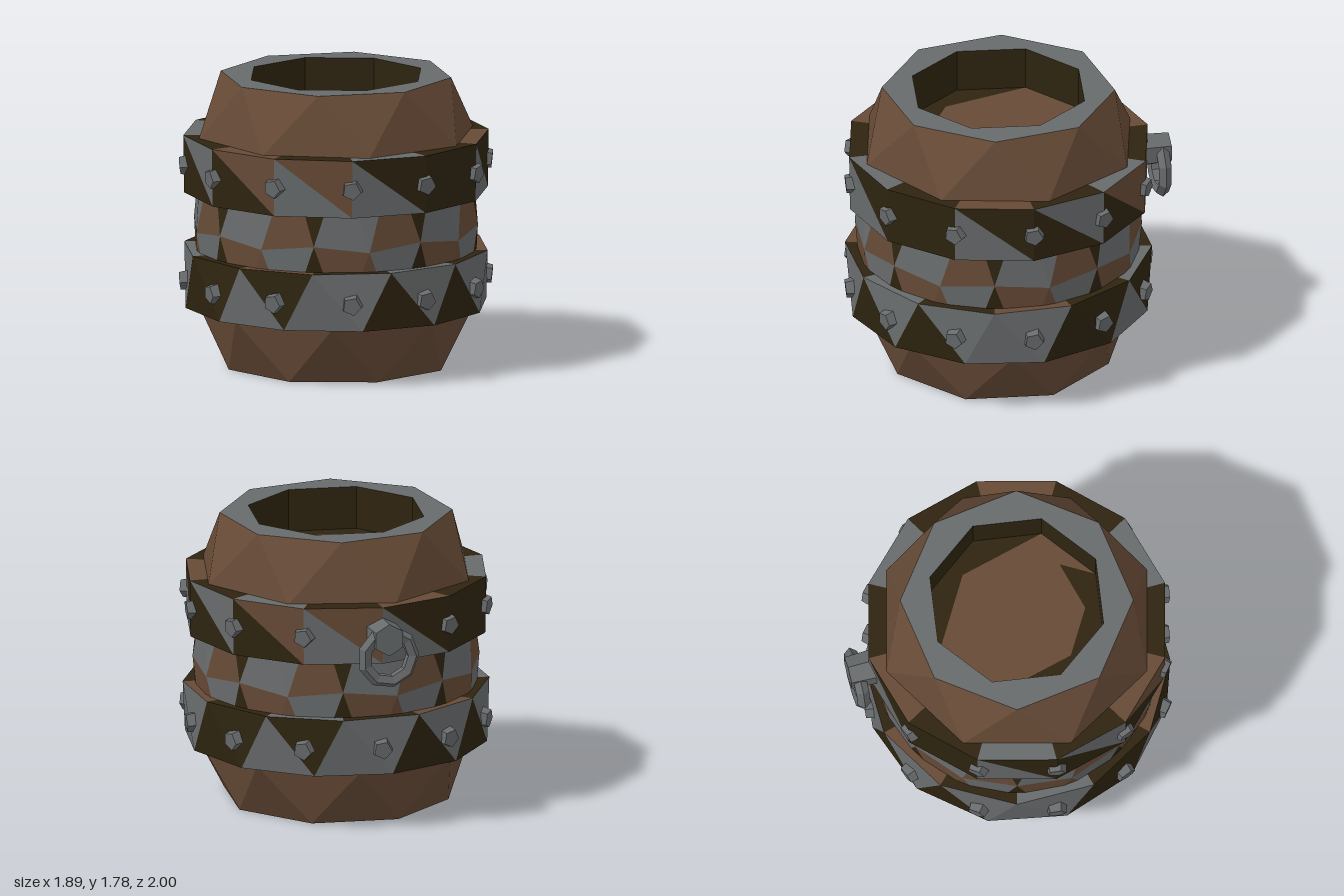
import * as THREE from 'three';

// palette: b = wood, g = steel, o = dark olive
const MATERIALS = {};
for (const [key, color] of Object.entries({ b: 0x664a36, g: 0x686b6c, o: 0x2e2410 })) {
  MATERIALS[key] = new THREE.MeshStandardMaterial({ color, flatShading: true, side: THREE.DoubleSide });
}

const rad = THREE.MathUtils.degToRad;
// angle 0 is the front, turning towards +x
const polar = (r, y, deg) => new THREE.Vector3(r * Math.sin(rad(deg)), y, r * Math.cos(rad(deg)));

// Faceted shell through rings [radius, heights, twist, facet colours up to the next ring].
// Heights and colours repeat around the ring. The rings run from the bottom,
// out and up, to the top; one mesh per colour.
function shell(name, sides, rings) {
  const group = new THREE.Group();
  group.name = name;
  const facets = { b: [], g: [], o: [] };
  const corner = ([r, heights, twist], k) =>
    polar(r, heights[(k % sides) % heights.length], twist + (k * 360) / sides);
  for (let i = 0; i < rings.length - 1; i++) {
    const lower = rings[i];
    const upper = rings[i + 1];
    const pattern = lower[3];
    const color = (n) => facets[pattern[n % pattern.length]];
    for (let k = 0; k < sides; k++) {
      const a1 = corner(lower, k + 1);
      const b0 = corner(upper, k);
      if (lower[0] > 0) color(2 * k).push(corner(lower, k), a1, b0);
      if (upper[0] > 0) color(2 * k + 1).push(a1, corner(upper, k + 1), b0);
    }
  }
  for (const [key, points] of Object.entries(facets)) {
    if (!points.length) continue;
    const geometry = new THREE.BufferGeometry().setFromPoints(points);
    geometry.computeVertexNormals();
    const mesh = new THREE.Mesh(geometry, MATERIALS[key]);
    mesh.name = name + { b: 'Wood', g: 'Steel', o: 'Dark' }[key];
    group.add(mesh);
  }
  return group;
}

// Holder on the barrel side whose local +z points outwards
function sideMount(name, deg, r, y) {
  const mount = new THREE.Group();
  mount.name = name;
  mount.position.copy(polar(r, y, deg));
  mount.rotation.y = rad(deg);
  return mount;
}

function outwardPeg(name, rTip, rBase, length, sides, turn) {
  const geometry = new THREE.CylinderGeometry(rTip, rBase, length, sides);
  geometry.rotateY(turn);
  geometry.rotateX(Math.PI / 2);
  const mesh = new THREE.Mesh(geometry, MATERIALS.g);
  mesh.name = name;
  return mesh;
}

export function createModel() {
  const model = new THREE.Group();
  model.name = 'barrel';
  const barrel = new THREE.Group();
  barrel.name = 'barrelBody';
  barrel.position.z = 0.055;
  model.add(barrel);

  // flared foot; the recess underneath is shallow at its front corner
  barrel.add(shell('foot', 8, [
    [0, [0.28], 0, 'b'],
    [0.55, [0.08, 0.28, 0.28, 0.28, 0.28, 0.28, 0.28, 0.28], 0, 'o'],
    [0.56, [0], 0, 'g'],
    [0.7, [0], 30, 'b'],
    [0.845, [0.365], 52.5, 'b'],
  ]));

  // patchwork staves at the belly
  barrel.add(shell('staves', 16, [
    [0.84, [0.4], -11.25, 'obbg'],
    [0.875, [0.88, 0.84], 0, 'ggbo'],
    [0.82, [1.4], 11.25, 'b'],
  ]));

  // tapered neck with an open, recessed mouth
  barrel.add(shell('neck', 8, [
    [0.86, [1.42], -22.5, 'b'],
    [0.71, [1.785], 0, 'g'],
    [0.55, [1.785], 29, 'o'],
    [0.55, [1.52], 29, 'bbooooobbboooooo'],
    [0.42, [1.52], 51.5, 'b'],
    [0, [1.52], 51.5, 'b'],
  ]));

  // two hoops, turned differently
  const hoops = [
    { name: 'lowerHoop', y0: 0.365, y1: 0.72, turn0: -11, turn1: 0, colors: 'ggogogggoogo' },
    { name: 'upperHoop', y0: 1.07, y1: 1.425, turn0: -15, turn1: -15, colors: 'gbgooogoogob' },
  ];
  for (const { name, y0, y1, turn0, turn1, colors } of hoops) {
    barrel.add(shell(name, 12, [
      [0.76, [y0], turn0, 'b'],
      [0.93, [y0], turn0, colors],
      [0.935, [y1], turn1, 'ooggoobb'],
      [0.76, [y1], turn1, 'b'],
    ]));
  }

  // slightly crooked studs around both hoops, leaving one place for the ring handle
  const handleAngle = 195;
  for (const y of [0.53, 1.245]) {
    for (let k = 0; k < 12; k++) {
      const deg = 15 + 30 * k;
      if (y > 1 && deg === handleAngle) continue;
      const mount = sideMount('stud', deg, 0.922, y);
      const head = outwardPeg('studHead', 0.058, 0.07, 0.07, 5, 0.2);
      head.rotation.set(0.1, -0.15, 0);
      mount.add(head);
      barrel.add(mount);
    }
  }

  // ring handle hanging from a boss at the back
  const handle = sideMount('ringHandle', handleAngle, 0.96, 1.255);
  handle.add(outwardPeg('handleBoss', 0.1, 0.11, 0.21, 6, 0));
  const ring = new THREE.Mesh(new THREE.TorusGeometry(0.155, 0.042, 5, 9), MATERIALS.g);
  ring.name = 'handleRing';
  ring.position.set(0.01, -0.12, 0.05);
  handle.add(ring);
  barrel.add(handle);

  return model;
}
